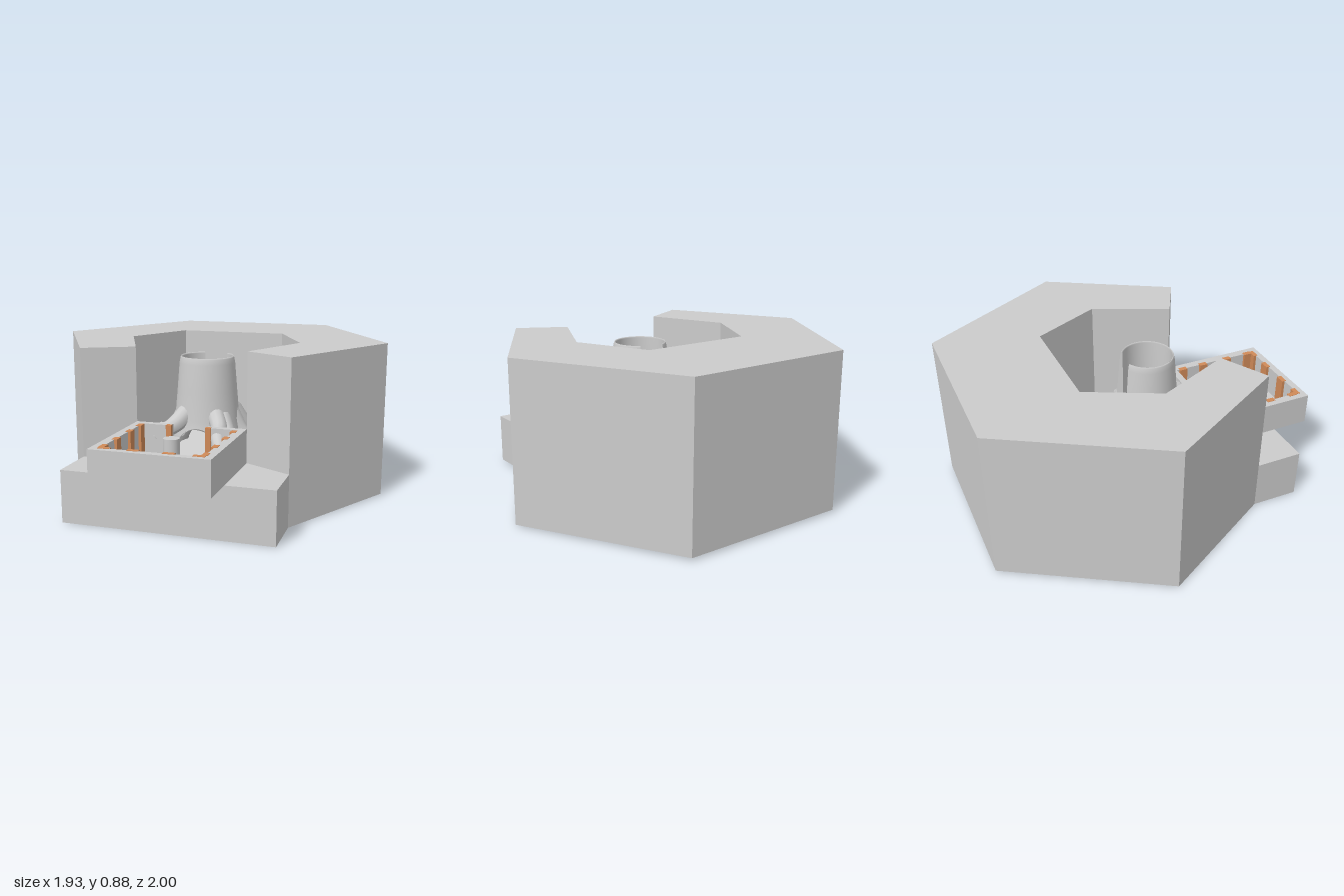
import * as THREE from 'three';

const grey = new THREE.MeshStandardMaterial({ color: 0xcccccc });
const greyDouble = new THREE.MeshStandardMaterial({ color: 0xcccccc, side: THREE.DoubleSide });
const orange = new THREE.MeshStandardMaterial({ color: 0xd08a58 });

const FLOOR = 0.285; // top of the base slab
const RIM = 0.47;    // top of the tray

function add(parent, name, geometry, material = grey) {
  const mesh = new THREE.Mesh(geometry, material);
  mesh.name = name;
  parent.add(mesh);
  return mesh;
}

// Prism standing on a plan outline given as [x, z] points
function prism(points, y0, y1) {
  const shape = new THREE.Shape(points.map(([x, z]) => new THREE.Vector2(x, -z)));
  const geo = new THREE.ExtrudeGeometry(shape, { depth: y1 - y0, bevelEnabled: false });
  geo.rotateX(-Math.PI / 2);
  geo.translate(0, y0, 0);
  return geo;
}

// Completes a right-hand outline with its mirror image
const mirrored = (pts) => [...pts, ...pts.slice().reverse().map(([x, z]) => [-x, z])];

function box(x0, x1, y0, y1, z0, z1) {
  const geo = new THREE.BoxGeometry(x1 - x0, y1 - y0, z1 - z0);
  geo.translate((x0 + x1) / 2, (y0 + y1) / 2, (z0 + z1) / 2);
  return geo;
}

// Round root that thins along its path
function root(points, r0, r1) {
  const path = new THREE.CatmullRomCurve3(points.map((p) => new THREE.Vector3(...p)));
  const n = 20, sides = 12;
  const geo = new THREE.TubeGeometry(path, n, r0, sides);
  const pos = geo.attributes.position;
  const v = new THREE.Vector3();
  for (let i = 0; i <= n; i++) {
    const t = i / n;
    const centre = path.getPointAt(t);
    const k = i === n ? 0 : 1 + (r1 / r0 - 1) * t;
    for (let j = 0; j <= sides; j++) {
      const id = i * (sides + 1) + j;
      v.fromBufferAttribute(pos, id).sub(centre).multiplyScalar(k).add(centre);
      pos.setXYZ(id, v.x, v.y, v.z);
    }
  }
  geo.computeVertexNormals();
  return geo;
}

function buildHousing() {
  const g = new THREE.Group();
  g.name = 'housing';
  // Base slab with a slightly tilted underside
  const base = prism(mirrored([[0.48, -1], [0.965, -0.17], [0.57, 0.52], [0.57, 0.79]]), 0, FLOOR);
  const pos = base.attributes.position;
  for (let i = 0; i < pos.count; i++) {
    if (pos.getY(i) < 0.01) pos.setY(i, 0.008 * (0.79 - pos.getZ(i)));
  }
  base.computeVertexNormals();
  add(g, 'baseSlab', base);
  // Hexagonal wall, open at the front
  const outer = mirrored([[0.57, 0.52], [0.965, -0.17], [0.48, -1]]);
  const inner = mirrored([[0.31, 0.38], [0.5, -0.04], [0.31, -0.43]]).reverse();
  add(g, 'hexagonWall', prism([...outer, ...inner], FLOOR, 0.88));
  return g;
}

function buildTower() {
  const g = new THREE.Group();
  g.name = 'treeTower';
  const profile = [[0.145, FLOOR], [0.215, FLOOR], [0.195, 0.37], [0.182, 0.46], [0.168, 0.62],
    [0.156, 0.77], [0.15, 0.8], [0.146, 0.807], [0.14, 0.8], [0.14, 0.5], [0.145, FLOOR]]
    .map((p) => new THREE.Vector2(...p));
  // Hollow trunk with a slot at the back
  const start = Math.PI + 0.4, length = 2 * Math.PI - 1;
  const trunk = new THREE.LatheGeometry(profile, 60, start, length);
  const pos = trunk.attributes.position;
  // Archway at the front foot
  for (let i = 0; i < pos.count; i++) {
    const a = Math.atan2(pos.getX(i), pos.getZ(i)) / 0.6;
    if (Math.abs(a) < 1) pos.setY(i, Math.max(pos.getY(i), FLOOR + 0.14 * Math.sqrt(1 - a * a)));
  }
  g.position.z = 0.09;
  add(g, 'trunk', trunk, greyDouble);
  for (const phi of [start, start + length]) {
    const edge = new THREE.ShapeGeometry(new THREE.Shape(profile));
    edge.rotateY(phi - Math.PI / 2);
    add(g, 'slotEdge', edge, greyDouble);
  }
  return g;
}

function buildRoots() {
  const g = new THREE.Group();
  g.name = 'roots';
  const roots = [
    [[[-0.12, 0.5, 0.0], [-0.2, 0.38, -0.05], [-0.31, 0.32, -0.13], [-0.42, 0.3, -0.24]], 0.06, 0.022],
    [[[-0.13, 0.48, 0.12], [-0.21, 0.36, 0.12], [-0.28, 0.31, 0.15], [-0.38, 0.3, 0.18]], 0.05, 0.02],
    [[[0.12, 0.5, 0.02], [0.2, 0.38, -0.04], [0.28, 0.32, -0.14], [0.38, 0.3, -0.29]], 0.06, 0.022],
    [[[0.13, 0.5, 0.08], [0.22, 0.36, 0.07], [0.32, 0.31, 0.08], [0.45, 0.3, 0.08]], 0.05, 0.02],
    [[[0.11, 0.48, 0.18], [0.2, 0.36, 0.28], [0.27, 0.32, 0.32], [0.34, 0.3, 0.32]], 0.05, 0.03],
    [[[0.08, 0.5, 0.2], [0.13, 0.44, 0.29], [0.16, 0.41, 0.41], [0.2, 0.36, 0.48], [0.25, 0.32, 0.5]], 0.05, 0.03],
    [[[-0.08, 0.5, 0.2], [-0.13, 0.44, 0.28], [-0.18, 0.41, 0.35], [-0.22, 0.38, 0.41]], 0.055, 0.035],
  ];
  for (const [points, r0, r1] of roots) add(g, 'root', root(points, r0, r1));
  // Sloping chute leading from the trunk to the tray
  const chute = prism([[-0.1, 0.43], [0.1, 0.43], [0.1, -0.02], [-0.1, -0.02]], FLOOR, 0.4);
  const pos = chute.attributes.position;
  for (let i = 0; i < pos.count; i++) {
    if (pos.getY(i) > 0.35 && pos.getZ(i) > 0.3) pos.setY(i, 0.31);
  }
  chute.computeVertexNormals();
  add(g, 'chute', chute);
  return g;
}

function buildTray() {
  const g = new THREE.Group();
  g.name = 'tray';
  // Tray wall with a gap at the back for the chute
  const half = [[0.1, 0.42], [0.1, 0.38], [0.31, 0.38], [0.31, 1]];
  const inside = mirrored([[0.1, 0.42], [0.26, 0.42], [0.26, 0.96]]);
  const wall = [...mirrored(half.slice(1)), ...inside.slice().reverse()];
  add(g, 'trayWall', prism(wall, FLOOR, RIM));
  add(g, 'trayFloor', box(-0.305, 0.305, FLOOR - 0.002, 0.3, 0.385, 0.995));
  // Pilasters along the inside of the walls
  const top = RIM + 0.002;
  for (const s of [-1, 1]) {
    for (const z of [0.46, 0.6, 0.77, 0.92]) {
      const x = s * 0.26;
      add(g, 'sidePilaster', box(x - 0.015, x + 0.015, 0.3, top, z - 0.025, z + 0.025), orange);
    }
    for (const x of [0.09, 0.24]) {
      add(g, 'frontPilaster', box(s * x - 0.03, s * x + 0.03, 0.3, top, 0.943, 0.97), orange);
    }
    add(g, 'backPilaster', box(s * 0.11 - 0.015, s * 0.11 + 0.015, 0.3, top, 0.405, 0.43), orange);
  }
  // Furnishings on the tray floor
  const barrel = new THREE.CylinderGeometry(0.042, 0.042, 0.17, 20);
  barrel.translate(0, 0.385, 0.68);
  add(g, 'barrel', barrel);
  add(g, 'chest', box(0.17, 0.25, 0.3, 0.36, 0.62, 0.74));
  add(g, 'crate', box(0.135, 0.165, 0.3, 0.33, 0.785, 0.815));
  const rubble = new THREE.CylinderGeometry(0.04, 0.06, 0.06, 6);
  rubble.translate(-0.2, 0.33, 0.9);
  add(g, 'rubble', rubble);
  return g;
}

export function createModel() {
  const model = new THREE.Group();
  model.name = 'diceTower';
  model.add(buildHousing(), buildTower(), buildRoots(), buildTray());
  return model;
}
